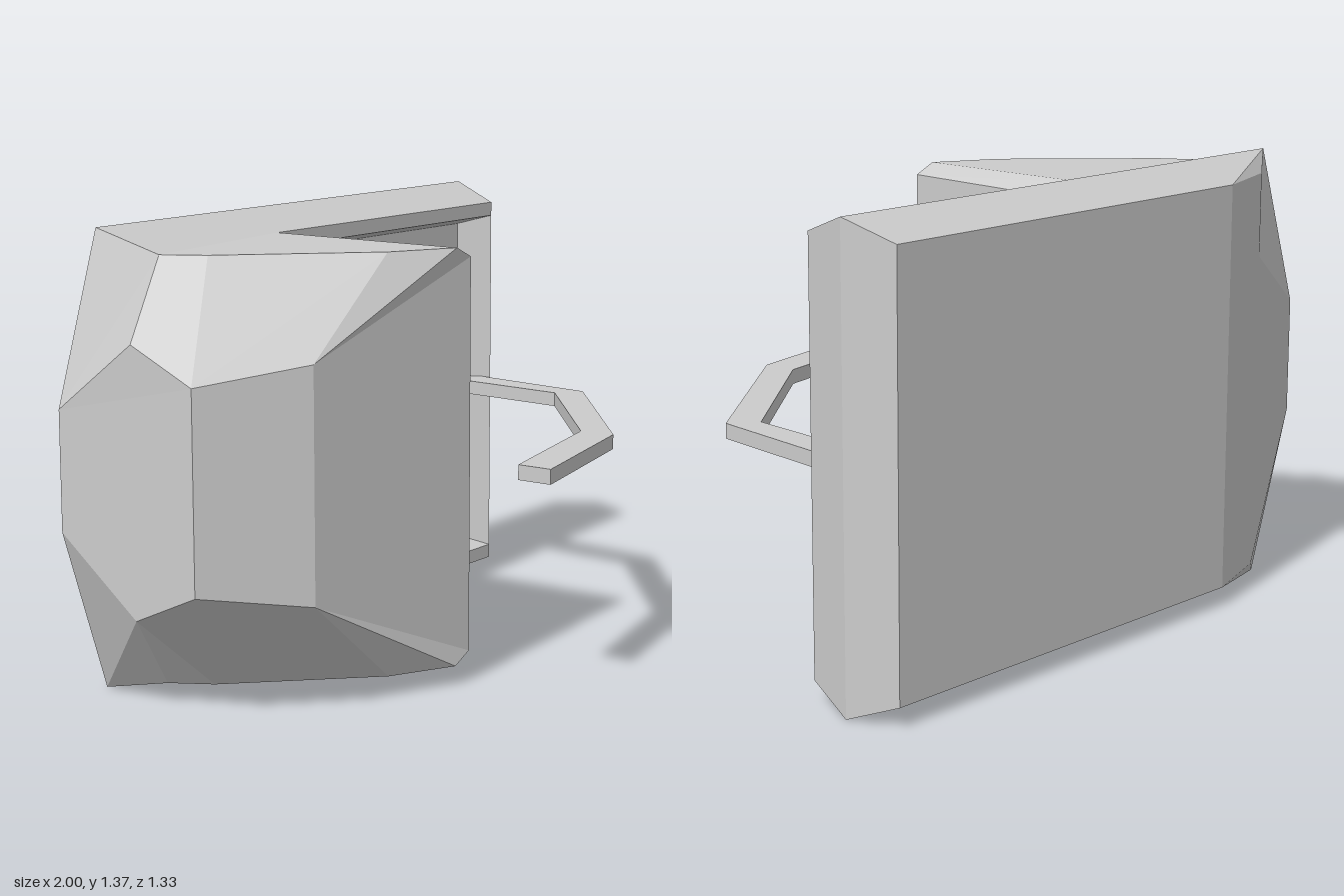
import * as THREE from 'three';

const MID = 0.685; // the housing is mirrored above and below this height
const grey = new THREE.MeshStandardMaterial({ color: 0xcccccc, flatShading: true });

// Corners of the upper half; the upper-case letter is the same corner mirrored downwards
const corners = {
  // panel rim: ridge, back edge, front edge
  a: [1, 1.37, -0.51], b: [-0.82, 1.37, -0.51],
  c: [0.95, 1.31, -0.665], d: [-0.46, 1.31, -0.665], e: [-0.72, 1.31, -0.58], u: [-0.72, 1.05, -0.58],
  f: [0.96, 1.31, -0.345], g: [-0.2, 1.31, -0.345],
  // recess opening and floor
  h: [-0.13, 1.265, -0.345], i: [0.96, 1.265, -0.345],
  s: [-0.07, 1.235, -0.45], t: [0.91, 1.235, -0.45],
  // bulging side block: top outline, then its faceted flank
  j: [-0.2, 1.31, 0.32], k: [-0.13, 1.278, 0.32],
  l: [-0.4, 1.31, 0.22], m: [-0.76, 1.31, -0.14], n: [-0.83, 1.31, -0.26],
  o: [-0.73, 1.03, 0.21], p: [-1, 0.98, 0], q: [-1, 1.08, -0.22], r: [-0.99, 0.865, -0.51],
};

function corner(id) {
  const [x, y, z] = corners[id.toLowerCase()];
  return [x, id === id.toLowerCase() ? y : 2 * MID - y, z];
}

// Mesh from faces written as corner letters, counter-clockwise from outside
function facetMesh(name, mirrored, spanning) {
  const flip = (face) => [...face.toUpperCase()].reverse().join('');
  const faces = [...mirrored, ...mirrored.map(flip), ...spanning];
  const pos = [];
  for (const face of faces) {
    for (let n = 1; n < face.length - 1; n++) {
      pos.push(...corner(face[0]), ...corner(face[n]), ...corner(face[n + 1]));
    }
  }
  const geo = new THREE.BufferGeometry();
  geo.setAttribute('position', new THREE.Float32BufferAttribute(pos, 3));
  geo.computeVertexNormals();
  const mesh = new THREE.Mesh(geo, grey);
  mesh.name = name;
  return mesh;
}

export function createModel() {
  const group = new THREE.Group();
  group.name = 'model';

  // Bevelled back panel
  group.add(facetMesh('panel',
    ['acdb', 'bde', 'abgf', 'fghi', 'buer'.replace('buer', 'beur')],
    ['afFA', 'caAC', 'dcCD', 'edDE', 'ruUR']));

  // Sunken front of the panel
  group.add(facetMesh('recess', ['ihst'], ['tsST', 'shHS', 'itTI']));

  // Faceted block bulging from the side
  group.add(facetMesh('sideBlock',
    ['bng', 'gnmlj', 'gjkh', 'jlo', 'kjo', 'lmpo', 'mnq', 'mqp', 'nbrq'],
    ['koOK', 'opPO', 'pqrRQP', 'hkKH']));

  // Thin bent bar reaching round the front, drawn in plan as (x, z)
  const plan = [
    [0.955, -0.45], [0.9, 0.07], [0.32, 0.54], [-0.22, 0.66],
    [-0.22, 0.55], [0.31, 0.43], [0.82, 0.01], [0.85, -0.45],
  ];
  const shape = new THREE.Shape(plan.map(([x, z]) => new THREE.Vector2(x, -z)));
  const barGeo = new THREE.ExtrudeGeometry(shape, { depth: 0.045, bevelEnabled: false });
  barGeo.rotateX(-Math.PI / 2);
  const bar = new THREE.Mesh(barGeo, grey);
  bar.name = 'bentBar';
  bar.position.y = 0.66;
  group.add(bar);

  return group;
}
